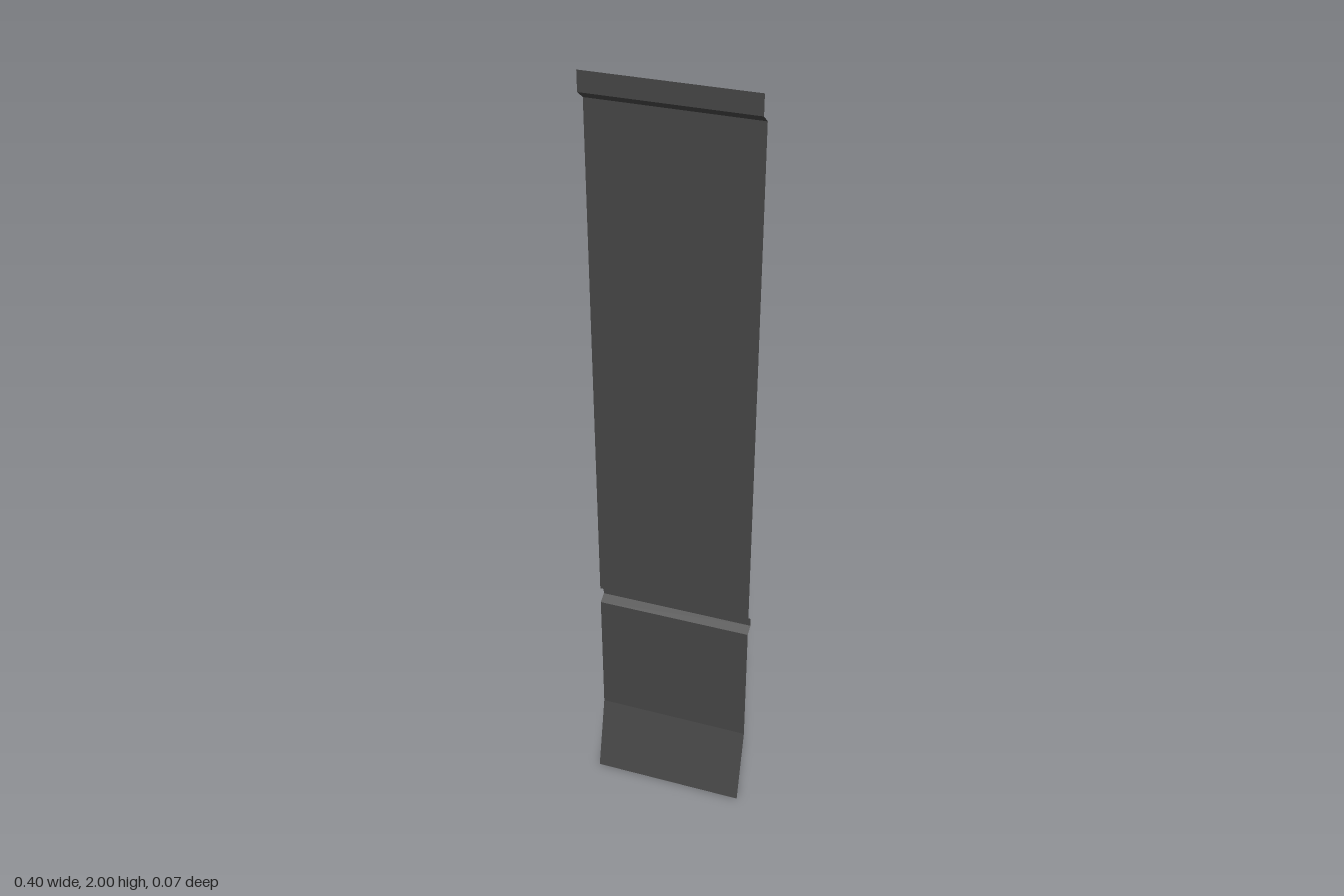
import * as THREE from 'three';

const HALF_WIDTH = 0.2;
const material = new THREE.MeshStandardMaterial({
  color: 0x444444, side: THREE.DoubleSide, flatShading: true,
});

// Bent sheet following a [y, z] profile, listed from top to bottom
function bentSheet(name, profile) {
  const positions = [];
  for (let i = 0; i < profile.length - 1; i++) {
    const [y0, z0] = profile[i];
    const [y1, z1] = profile[i + 1];
    const a = [-HALF_WIDTH, y0, z0], b = [HALF_WIDTH, y0, z0];
    const c = [-HALF_WIDTH, y1, z1], d = [HALF_WIDTH, y1, z1];
    positions.push(...a, ...c, ...b, ...b, ...c, ...d);
  }
  const geometry = new THREE.BufferGeometry();
  geometry.setAttribute('position', new THREE.Float32BufferAttribute(positions, 3));
  geometry.computeVertexNormals();
  const mesh = new THREE.Mesh(geometry, material);
  mesh.name = name;
  return mesh;
}

export function createModel() {
  const group = new THREE.Group();
  group.name = 'bentPanel';
  const face = -0.015; // depth of the flat panels
  const groove = -0.038; // depth of the groove floor

  group.add(
    // Upright lip stepped forward of the panel
    bentSheet('topFlange', [[2, 0.015], [1.952, 0.015], [1.93, face]]),
    bentSheet('upperPanel', [[1.93, face], [0.6, face]]),
    // Shallow groove pressed towards the back
    bentSheet('groove', [[0.6, face], [0.588, groove], [0.565, groove], [0.553, face]]),
    bentSheet('lowerPanel', [[0.553, face], [0.2, face]]),
    // Bottom strip kicked out to the front
    bentSheet('bottomKick', [[0.2, face], [0, 0.035]]),
  );
  return group;
}
